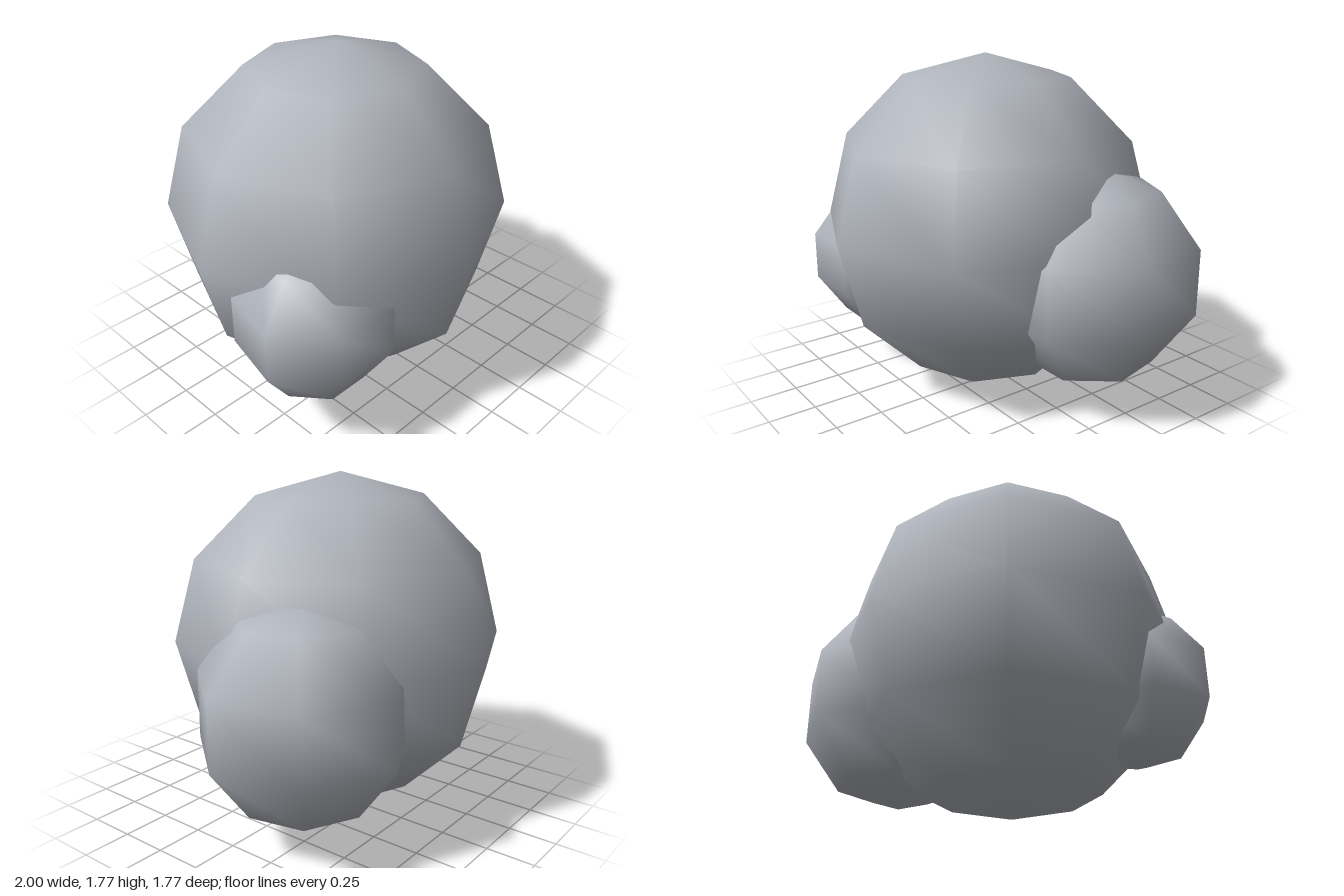
import * as THREE from 'three';

export function createModel() {
  const group = new THREE.Group();
  const stone = new THREE.MeshStandardMaterial({ color: 0xb0b4bc });
  stone.name = 'stone grey';

  // Smooth-shaded boulder made from a coarse sphere
  function boulder(name, radius, sides, rings, x, y, z) {
    const geometry = new THREE.SphereGeometry(radius, sides, rings);
    geometry.rotateY(-Math.PI / 2); // one corner points to the back
    const mesh = new THREE.Mesh(geometry, stone);
    mesh.name = name;
    mesh.position.set(x, y, z);
    group.add(mesh);
  }

  boulder('mainBoulder', 0.883, 8, 6, -0.117, 0.883, 0);
  boulder('leftBoulder', 0.5625, 7, 5, 0.475, 0.683, -0.237);
  boulder('rightBoulder', 0.41, 7, 5, -0.614, 0.622, 0.356);

  return group;
}
